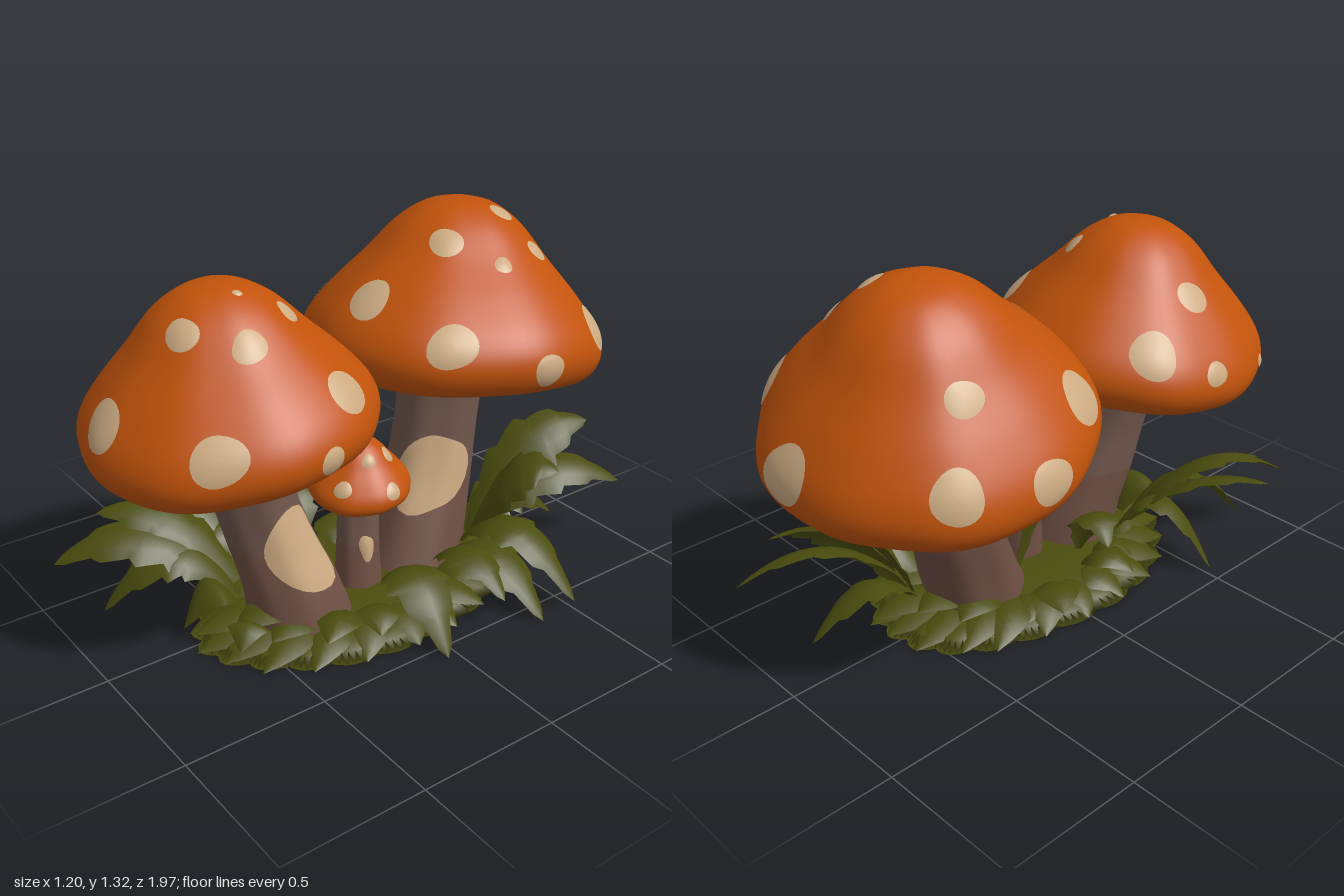
import * as THREE from 'three';

const mat = (name, color, side = THREE.FrontSide) =>
  Object.assign(new THREE.MeshStandardMaterial({ color, side }), { name });
const orange = mat('cap orange', 0xc2530b);
const cream = mat('spot cream', 0xcdab82);
const brown = mat('upper stem brown', 0x6f564b);
const redBrown = mat('lower stem brown', 0x6f5044);
const green = mat('leaf green', 0x4a4c0e, THREE.DoubleSide);

const V = (x, y, z) => new THREE.Vector3(x, y, z);
const TAU = Math.PI * 2;
let seed = 7;
const rand = () => (seed = (seed * 16807) % 2147483647) / 2147483647;

// Smooth surface from point(a, v), with a running 0..2PI (closed) and v 0..1
function loft(point, nu, nv, closed = true) {
  const pos = [], idx = [], cols = closed ? nu : nu + 1;
  for (let j = 0; j <= nv; j++)
    for (let i = 0; i < cols; i++) pos.push(...point(i / nu * TAU, j / nv).toArray());
  for (let j = 0; j < nv; j++)
    for (let i = 0; i < nu; i++) {
      const a = j * cols + i, b = j * cols + (i + 1) % cols;
      idx.push(a, b, a + cols, b, b + cols, a + cols);
    }
  const g = new THREE.BufferGeometry();
  g.setAttribute('position', new THREE.Float32BufferAttribute(pos, 3));
  g.setIndex(idx);
  g.computeVertexNormals();
  return g;
}

function add(parent, name, geometry, material) {
  const m = new THREE.Mesh(geometry, material);
  m.name = name;
  parent.add(m);
  return m;
}

// Thin rounded patch lying on surface(a, v, offset)
function patch(surface, a0, v0, ra, rv, wobble = 0.06) {
  const ph = a0 * 5 + v0 * 9;
  return loft((f, q) => {
    const k = q * (1 + wobble * Math.sin(2 * f + ph) + wobble * 0.6 * Math.sin(3 * f - ph));
    return surface(a0 + ra * k * Math.cos(f), v0 - rv * k * Math.sin(f), 0.0025 + 0.005 * (1 - q * q));
  }, 28, 6);
}

// Cap outline from the apex, over the rim and in underneath (unit radius)
const capProfile = new THREE.SplineCurve([[0, 0.93], [0.2, 0.895], [0.4, 0.765], [0.6, 0.535], [0.8, 0.315],
  [0.95, 0.11], [1, -0.06], [0.95, -0.2], [0.83, -0.275], [0.64, -0.25], [0.45, -0.17], [0.25, -0.1]]
  .map(p => new THREE.Vector2(...p)));
capProfile.arcLengthDivisions = 600;

function makeCap(name, center, radius, height, tiltX, tiltZ, phase, spots) {
  const cap = new THREE.Group();
  cap.name = name;
  cap.position.copy(center);
  cap.rotation.set(tiltX, 0, tiltZ);
  cap.updateMatrix();
  const surface = (a, v, off = 0) => {
    v = THREE.MathUtils.clamp(v, 0, 1);
    const p = capProfile.getPointAt(v), t = capProfile.getTangentAt(v);
    const wave = Math.min(p.x, 1);
    const r = radius * p.x * (1 + 0.008 * Math.sin(5 * a + phase) + 0.007 * Math.sin(9 * a)) - t.y * off;
    const y = radius * height * p.y + radius * wave * wave * 0.025 * Math.sin(3 * a + phase) + t.x * off;
    return V(r * Math.cos(a), y, r * Math.sin(a));
  };
  add(cap, 'capSkin', loft(surface, 72, 60), orange);
  const inverse = cap.matrix.clone().invert(), length = capProfile.getLength() * radius;
  for (const [x, y, z, size] of spots) {
    const p = V(x, y, z).applyMatrix4(inverse), a = Math.atan2(p.z, p.x);
    // nearest place on the outer skin
    let best = 0, dist = Infinity;
    for (let v = 0; v < 0.65; v += 0.01) {
      const d = surface(a, v).distanceTo(p);
      if (d < dist) { dist = d; best = v; }
    }
    const q = surface(a, best);
    add(cap, 'capSpot', patch(surface, a, best, size / Math.hypot(q.x, q.z), size / length), cream);
  }
  return cap;
}

// Leaning stem, path listed from the top down as [x, y, z, radius]
function makeStem(name, path, patches) {
  const stem = new THREE.Group();
  stem.name = name;
  const line = new THREE.CatmullRomCurve3(path.map(p => V(p[0], p[1], p[2])));
  const width = new THREE.SplineCurve(path.map((p, i) => new THREE.Vector2(i, p[3])));
  const surface = (a, v, off = 0) => {
    const c = line.getPoint(v);
    const r = width.getPoint(v).y * (1 + 0.02 * Math.sin(7 * a) + 0.015 * Math.sin(4 * a + 5 * v)) + off;
    return c.add(V(r * Math.cos(a), 0, r * Math.sin(a)));
  };
  add(stem, 'upperStem', loft((a, v) => surface(a, v * 0.6), 48, 17), brown);
  add(stem, 'lowerStem', loft((a, v) => surface(a, 0.6 + v * 0.4), 48, 11), redBrown);
  for (const p of patches) add(stem, 'stemPatch', patch(surface, ...p, 0.12), cream);
  return stem;
}

// Arched leaf with a folded midrib and forward-pointing lobes; roll turns it about its length
function leaf(parent, name, base, tip, lift, w, lobes = 0, roll = 0) {
  const mid = base.clone().lerp(tip, 0.45);
  mid.y = Math.max(base.y, tip.y) + lift;
  const curve = new THREE.QuadraticBezierCurve3(base, mid, tip);
  const along = V(tip.x - base.x, 0, tip.z - base.z).normalize();
  const level = along.clone().cross(V(0, 1, 0));
  const geo = loft((a, t) => {
    const k = a / TAU * 2 - 1, tangent = curve.getTangent(t);
    const side = level.clone().applyAxisAngle(tangent, roll);
    const notch = lobes && t < 0.95 ? 0.7 + 0.3 * ((t * lobes) % 1) : 1;
    const half = t === 1 ? 0 : w * (0.08 + 0.92 * Math.sin(Math.PI * t)) * notch;
    return curve.getPoint(t).addScaledVector(side, half * k)
      .addScaledVector(side.clone().cross(tangent), -half * 0.3 * k * k);
  }, 4, lobes ? 24 : 8, false);
  return add(parent, name, geo, green);
}

export function createModel() {
  const model = new THREE.Group();
  model.name = 'mushroomCluster';

  // Front mushroom
  model.add(makeStem('frontStem', [[-0.01, 0.84, 0.46, 0.19], [-0.01, 0.7, 0.46, 0.158], [0.01, 0.52, 0.43, 0.143],
    [0.03, 0.36, 0.385, 0.15], [0.065, 0.2, 0.335, 0.165], [0.09, 0.03, 0.3, 0.18]],
  [[-0.2, 0.6, 0.95, 0.17]]));
  model.add(makeCap('frontCap', V(-0.015, 0.838, 0.497), 0.482, 0.965, 0.08, 0.05, 2, [
    [-0.015, 0.9, 0.91, 0.083], [0.34, 0.875, 0.74, 0.082], [0.07, 1.15, 0.68, 0.055], [0.21, 1.13, 0.55, 0.055],
    [0.07, 1.25, 0.5, 0.015], [0.12, 1.18, 0.35, 0.04], [0.33, 0.97, 0.3, 0.08], [-0.31, 1.06, 0.48, 0.058],
    [-0.38, 0.95, 0.23, 0.083], [0.45, 0.83, 0.43, 0.048], [-0.43, 0.79, 0.75, 0.025], [-0.49, 0.85, 0.44, 0.045]]));

  // Back mushroom
  model.add(makeStem('backStem', [[-0.04, 0.95, -0.44, 0.2], [-0.04, 0.8, -0.41, 0.162], [-0.03, 0.6, -0.375, 0.15],
    [-0.02, 0.4, -0.335, 0.157], [0.01, 0.2, -0.265, 0.17], [0.03, 0.03, -0.2, 0.185]],
  [[0.62, 0.58, 0.85, 0.15]]));
  model.add(makeCap('backCap', V(-0.06, 0.865, -0.465), 0.535, 0.97, -0.17, 0.14, 2, [
    [-0.02, 0.82, -0.97, 0.098], [0.34, 0.93, -0.75, 0.092], [-0.5, 0.85, -0.72, 0.082], [-0.37, 1.06, -0.59, 0.058],
    [0.16, 1.18, -0.63, 0.042], [0.03, 1.28, -0.57, 0.042], [0.21, 1.19, -0.44, 0.032], [0.02, 1.17, -0.37, 0.058],
    [0.32, 1.0, -0.14, 0.08], [-0.01, 1.09, -0.06, 0.078], [-0.45, 0.96, -0.18, 0.088], [-0.57, 0.81, -0.42, 0.074],
    [0.45, 0.9, -0.43, 0.06]]));

  // Small mushroom
  model.add(makeStem('smallStem', [[0.05, 0.5, 0.03, 0.08], [0.05, 0.38, 0.035, 0.074],
    [0.06, 0.22, 0.045, 0.076], [0.07, 0.03, 0.05, 0.085]], [[0.2, 0.62, 0.35, 0.1]]));
  model.add(makeCap('smallCap', V(0.045, 0.465, 0.03), 0.182, 0.98, 0.02, -0.08, 2, [
    [0.15, 0.59, 0.06, 0.024], [0.14, 0.59, -0.05, 0.028], [0.22, 0.49, 0.01, 0.03], [0.14, 0.51, 0.17, 0.03],
    [-0.1, 0.52, 0.08, 0.028], [-0.08, 0.52, -0.08, 0.026], [0.05, 0.6, 0.06, 0.02]]));

  // Mossy mound with a scalloped edge and a flat underside
  const cx = 0.04, cz = 0.04, rx = 0.375, rz = 0.605;
  add(model, 'mound', loft((a, v) => {
    const top = v <= 0.8, u = top ? v / 0.8 : (1 - v) / 0.2;
    const s = u * (1 + 0.05 * Math.abs(Math.sin(11 * a)) + 0.015 * Math.sin(5 * a));
    return V(cx + rx * s * Math.cos(a), top && u < 1 ? 0.03 + 0.06 * (1 - u ** 4) : 0.02, cz + rz * s * Math.sin(a));
  }, 132, 15), green);

  // Low rounded leaves spreading over the rim of the mound
  const spot = (a, s, y) => V(cx + rx * s * Math.cos(a), y, cz + rz * s * Math.sin(a));
  for (let i = 0; i < 22; i++) {
    const a = (i + rand() * 0.4) / 22 * TAU;
    leaf(model, 'rimLeaf', spot(a, 0.55, 0.075), spot(a + 0.05, 1.04 + 0.06 * rand(), 0.022), 0.03 + 0.03 * rand(), 0.08);
  }

  // Short broad leaves around the stems
  for (let i = 0; i < 16; i++) {
    const a = (i + rand() * 0.5) / 16 * TAU, out = 0.85 + 0.25 * rand();
    leaf(model, 'shortLeaf', spot(a, 0.5, 0.06), spot(a + 0.1, out, 0.05 + 0.06 * rand()), 0.06 + 0.08 * rand(), 0.08);
  }
  leaf(model, 'shortLeaf', V(0.0, 0.06, 0.48), V(-0.03, 0.08, 0.7), 0.3, 0.1);
  leaf(model, 'shortLeaf', V(0.1, 0.06, 0.5), V(0.2, 0.08, 0.62), 0.14, 0.07);

  // Long lobed fronds in two opposite clumps: base, tip, lift, half width, roll
  const fronds = [
    [[-0.08, 0.07, 0.42], [-0.4, 0.25, 0.98], 0.26, 0.115, -0.4],
    [[-0.08, 0.07, 0.38], [-0.6, 0.41, 0.62], 0.06, 0.12, -0.35],
    [[-0.1, 0.07, 0.35], [-0.45, 0.03, 0.52], 0.46, 0.1, -0.2],
    [[-0.06, 0.07, 0.45], [-0.3, 0.07, 0.86], 0.42, 0.1, -0.4],
    [[-0.08, 0.07, 0.4], [-0.42, 0.38, 0.8], 0.1, 0.11, -0.4],
    [[-0.08, 0.07, 0.2], [-0.36, 0.28, 0.06], 0.2, 0.1, 0],
    [[-0.06, 0.07, -0.1], [-0.22, 0.5, -0.05], 0.06, 0.09, 0],
    [[0.1, 0.07, -0.4], [0.33, 0.26, -0.98], 0.26, 0.11, 0.45],
    [[0.1, 0.07, -0.42], [0.2, 0.48, -0.92], 0.08, 0.13, 0.6],
    [[0.1, 0.07, -0.35], [0.6, 0.05, -0.5], 0.42, 0.12, 0],
    [[0.12, 0.07, -0.3], [0.59, 0.02, -0.36], 0.3, 0.12, 0],
    [[0.14, 0.07, -0.22], [0.54, 0.13, -0.22], 0.24, 0.1, 0],
    [[0.14, 0.07, -0.02], [0.56, 0.02, 0.04], 0.34, 0.13, 0],
    [[0.1, 0.07, -0.42], [0.36, 0.42, -0.62], 0.1, 0.13, 0.4],
    [[0.06, 0.07, -0.42], [0.12, 0.08, -0.84], 0.32, 0.12, 0.3],
  ];
  for (const [b, t, lift, w, roll] of fronds) leaf(model, 'frond', V(...b), V(...t), lift, w, 5, roll);

  return model;
}
